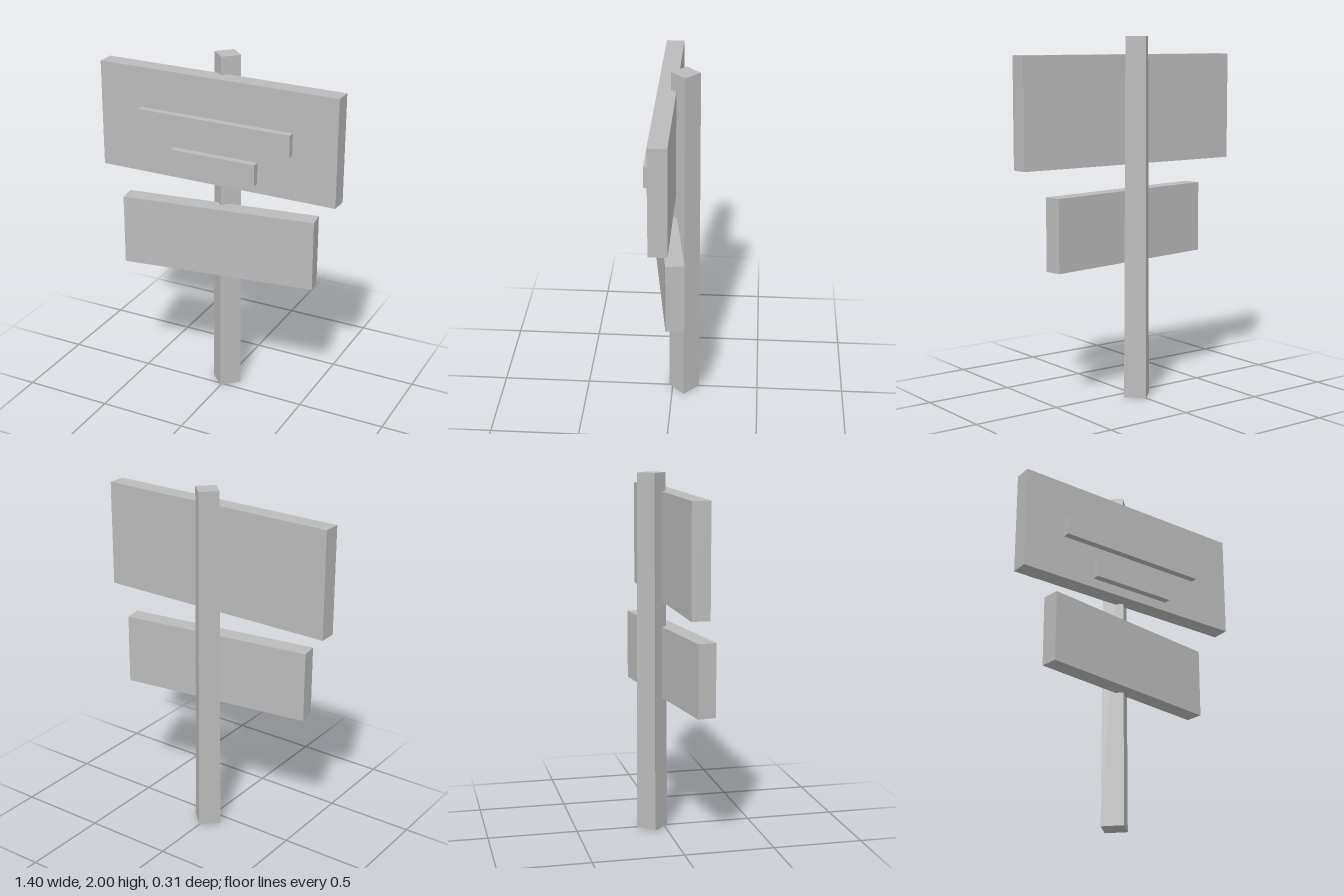
import * as THREE from 'three';

export function createModel() {
  const group = new THREE.Group();
  const grey = new THREE.MeshStandardMaterial({ color: 0xbbbbbb });
  grey.name = 'plain grey';
  grey.flatShading = true;

  const add = (name, geometry, x, y, z) => {
    const mesh = new THREE.Mesh(geometry, grey);
    mesh.name = name;
    mesh.position.set(x, y, z);
    group.add(mesh);
    return mesh;
  };
  const board = (name, w, h, d, y, z) => add(name, new THREE.BoxGeometry(w, h, d), 0, y, z);

  // Slightly tapered square post, set corner-on to the front
  add('post', new THREE.CylinderGeometry(0.078, 0.088, 2, 4), 0, 1, -0.068);

  // Large upper sign with two raised bars
  board('upperBoard', 1.4, 0.6, 0.1, 1.6, 0.03);
  board('longBar', 0.9, 0.12, 0.05, 1.615, 0.095);
  board('shortBar', 0.5, 0.12, 0.05, 1.415, 0.095);

  // Smaller lower sign, turned a little about the post
  board('lowerBoard', 1.1, 0.4, 0.1, 0.955, 0.03).rotation.y = 0.14;

  return group;
}
